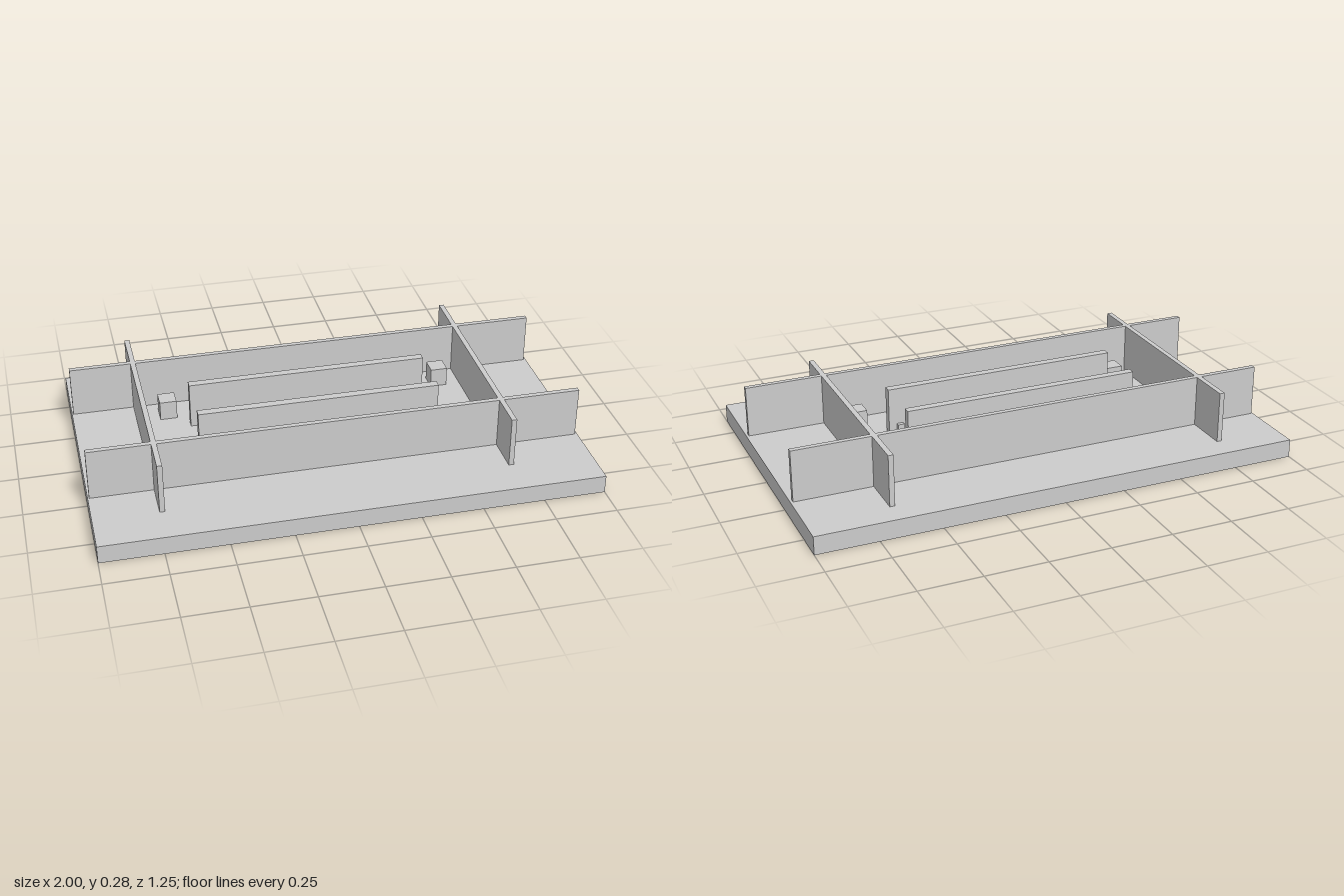
import * as THREE from 'three';

export function createModel() {
  const model = new THREE.Group();
  const material = new THREE.MeshStandardMaterial({ color: 0xcccccc, flatShading: true });
  const floor = 0.075; // top of the base slab
  const top = 0.285;

  // Box given by its extents on each axis
  function block(name, [x0, x1], [y0, y1], [z0, z1]) {
    const mesh = new THREE.Mesh(new THREE.BoxGeometry(x1 - x0, y1 - y0, z1 - z0), material);
    mesh.position.set((x0 + x1) / 2, (y0 + y1) / 2, (z0 + z1) / 2);
    mesh.name = name;
    model.add(mesh);
  }
  const around = (centre, size) => [centre - size / 2, centre + size / 2];

  // Base slab
  block('base', [-1, 1], [0, floor], [-0.6225, 0.6225]);

  // Long walls, crossed by two end walls
  for (const z of [-0.328, 0.296]) block('longWall', [-0.994, 0.99], [floor, top], around(z, 0.021));
  for (const x of [-0.732, 0.663]) block('crossWall', around(x, 0.021), [floor, top], [-0.518, 0.459]);

  // Inner boards, each with a row of low pegs on the side facing the aisle
  const boards = [
    { z: [-0.148, -0.115], pegs: [-0.115, -0.099] },
    { z: [0.078, 0.112], pegs: [0.061, 0.078] },
  ];
  for (const { z, pegs } of boards) {
    block('innerBoard', [-0.53, 0.46], [floor, floor + 0.193], z);
    for (const x of [-0.487, -0.315, -0.128, 0.056, 0.241, 0.414])
      block('peg', around(x, 0.027), [floor, floor + 0.04], pegs);
  }

  // Square corner blocks
  for (const x of [-0.61, 0.559])
    for (const z of [-0.229, 0.2]) block('cornerBlock', around(x, 0.07), [floor, floor + 0.08], around(z, 0.073));

  return model;
}
